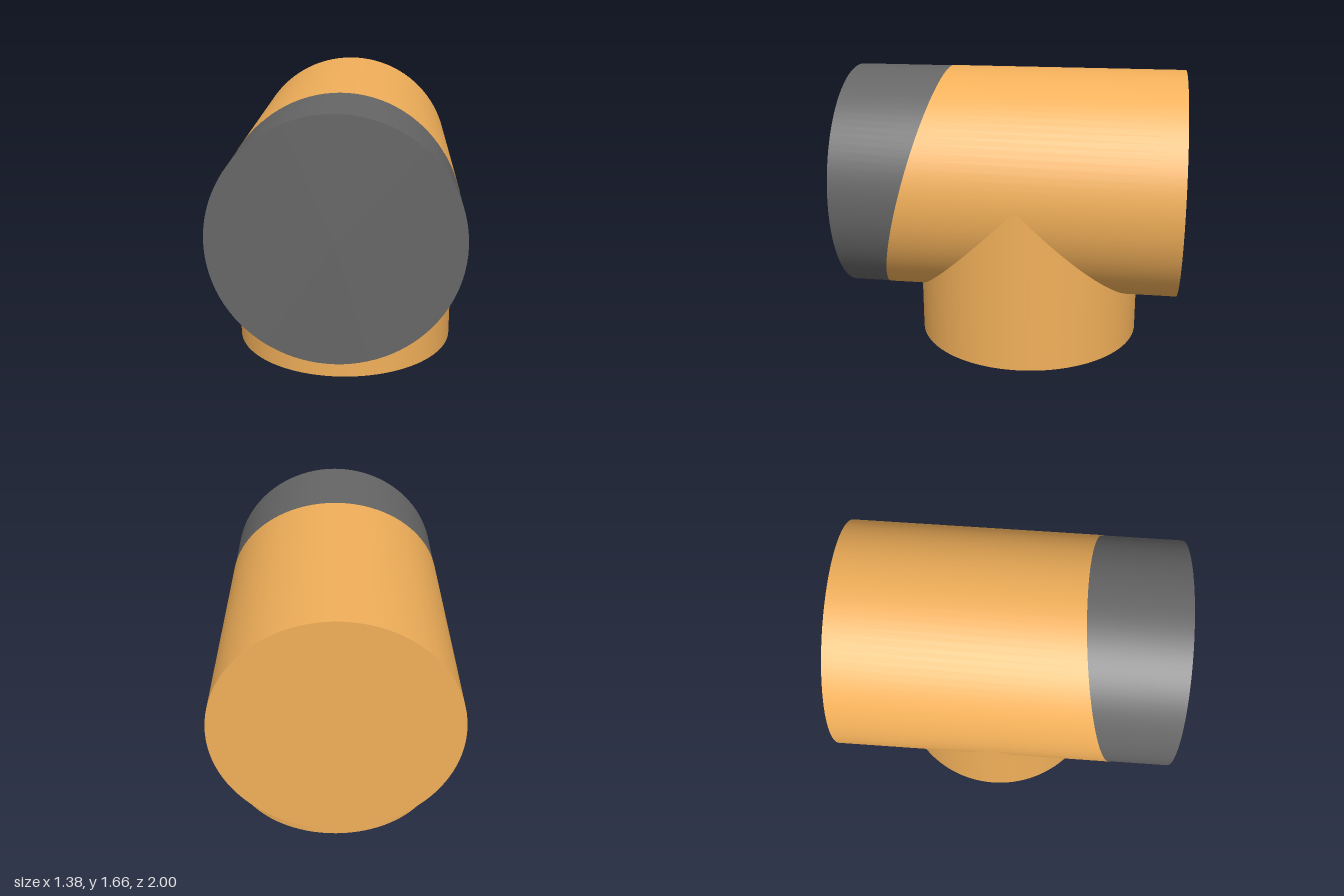
import * as THREE from 'three';

const R = 0.69;        // pipe radius
const AXIS_Y = 0.975;  // height of the horizontal pipe
const STEM_Z = -0.07;  // position of the vertical branch
const SEGMENTS = 96;

// Upright open tube whose two ends follow the rules bottom(x, z) and top(x, z)
function cutTube(radius, bottom, top) {
  const geo = new THREE.CylinderGeometry(radius, radius, 2, SEGMENTS, 1, true);
  const p = geo.attributes.position;
  for (let i = 0; i < p.count; i++) {
    const end = p.getY(i) > 0 ? top : bottom;
    p.setY(i, end(p.getX(i), p.getZ(i)));
  }
  return geo;
}

export function createModel() {
  const model = new THREE.Group();
  const orange = new THREE.MeshStandardMaterial({ color: 0xf2b05a, side: THREE.DoubleSide });
  const dark = new THREE.MeshStandardMaterial({ color: 0x666666, side: THREE.DoubleSide });

  function add(parent, name, geo, material) {
    const mesh = new THREE.Mesh(geo, material);
    mesh.name = name;
    parent.add(mesh);
    return mesh;
  }

  // Horizontal pipe: local +y runs along world +z, local z is world -y
  const pipe = new THREE.Group();
  pipe.name = 'horizontalPipe';
  pipe.rotation.x = Math.PI / 2;
  pipe.position.y = AXIS_Y;
  model.add(pipe);

  // Slanted seam between the body and the dark front section
  const seam = (x, z) => 0.605 + z * Math.tan(Math.PI / 12);
  add(pipe, 'pipeBody', cutTube(R, () => -1, seam), orange);
  add(pipe, 'frontSection', cutTube(R - 0.002, (x, z) => seam(x, z) - 0.01, () => 1), dark);

  const backCap = add(pipe, 'backCap', new THREE.CircleGeometry(R, SEGMENTS), orange);
  backCap.rotation.x = Math.PI / 2;
  backCap.position.y = -1;
  const frontCap = add(pipe, 'frontCap', new THREE.CircleGeometry(R - 0.002, SEGMENTS), dark);
  frontCap.rotation.x = -Math.PI / 2;
  frontCap.position.y = 1;

  // Vertical branch, its top mitred to meet the equal-sized pipe
  const branch = new THREE.Group();
  branch.name = 'verticalBranch';
  branch.position.z = STEM_Z;
  model.add(branch);
  add(branch, 'branchWall', cutTube(R, () => 0, (x, z) => AXIS_Y - Math.abs(z)), orange);
  const baseCap = add(branch, 'baseCap', new THREE.CircleGeometry(R, SEGMENTS), orange);
  baseCap.rotation.x = Math.PI / 2;

  return model;
}
